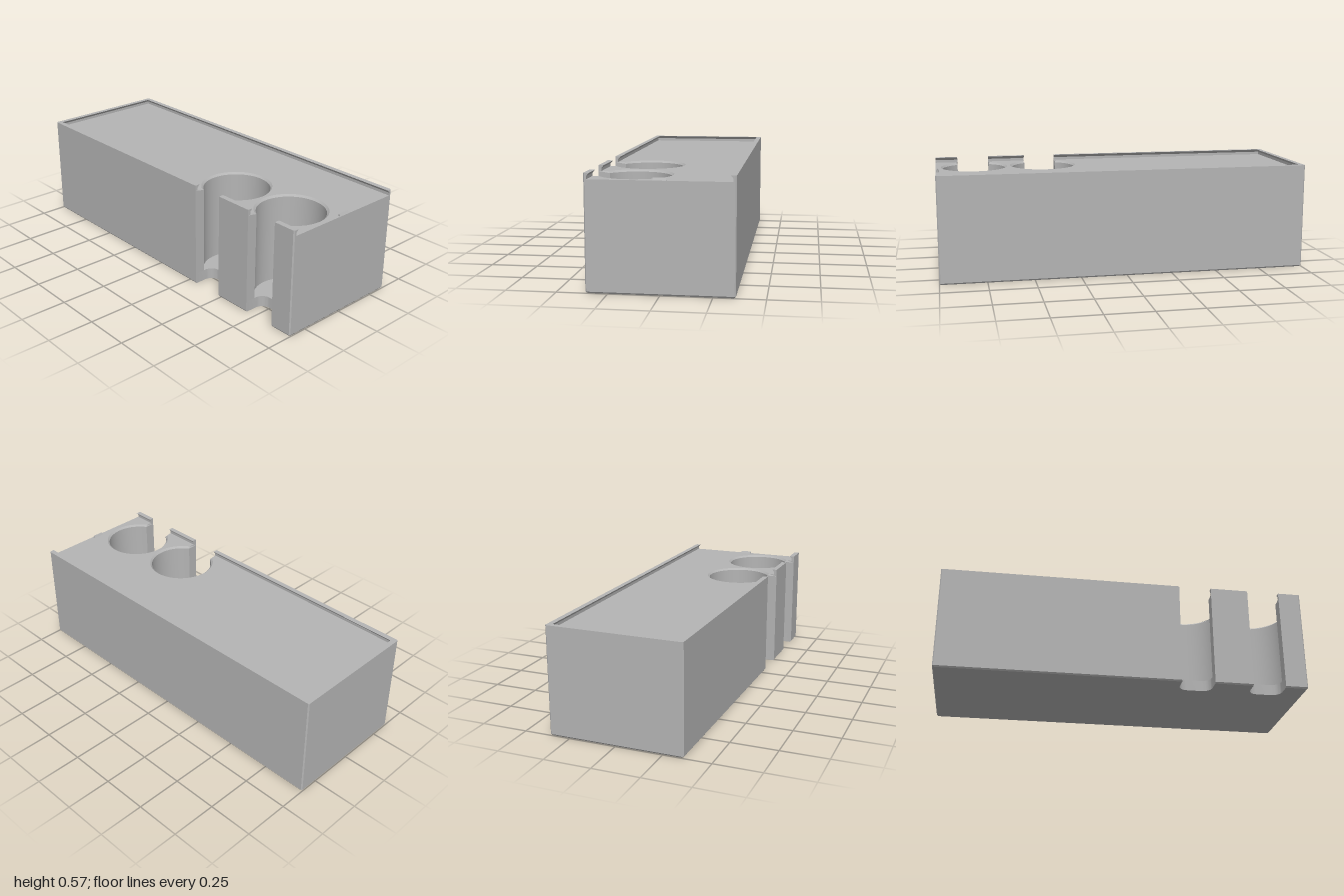
import * as THREE from 'three';
import { toCreasedNormals } from 'three/addons/utils/BufferGeometryUtils.js';

const W = 0.358, L = 1, CH = 0.006;          // half width, half length, edge chamfer
const H = 0.575, DECK = 0.545, FLOOR = 0.06; // rim top, deck, well floor
const WELLS = [0.395, 0.785], CX = -0.15, R = 0.175, LIP = 0.186, SLOT = 0.09;
const NOTCH_X = -0.24, NOTCH_R = 0.05;

// Extrude a plan outline of [x, z] points upward, optionally moving vertices by a rule
function layer(points, y0, y1, rule) {
  const shape = new THREE.Shape(points.map(([x, z]) => new THREE.Vector2(x, -z)));
  let geo = new THREE.ExtrudeGeometry(shape, { depth: y1 - y0, bevelEnabled: false });
  geo.rotateX(-Math.PI / 2).translate(0, y0, 0);
  if (rule) {
    const p = geo.attributes.position, v = new THREE.Vector3();
    for (let i = 0; i < p.count; i++) {
      v.fromBufferAttribute(p, i);
      rule(v);
      p.setXYZ(i, v.x, v.y, v.z);
    }
  }
  return toCreasedNormals(geo, 0.5);
}

// Box outline with chamfered corners and a cut on the right side at each well
function outline(cut) {
  return [
    [-W + CH, L], [W - CH, L], [W, L - CH], [W, -L + CH], [W - CH, -L], [-W + CH, -L], [-W, -L + CH],
    ...WELLS.flatMap(cut),
    [-W, L - CH],
  ];
}

// Round well with a finger slot opening through the side wall
function wellCut(zc) {
  const a = Math.PI - Math.asin(SLOT / R), n = 72, pts = [[-W, zc - SLOT]];
  for (let i = 0; i <= n; i++) {
    const t = a - (2 * a * i) / n;
    pts.push([CX + R * Math.cos(t), zc - R * Math.sin(t)]);
  }
  pts.push([-W, zc + SLOT]);
  return pts;
}

// Rounded notch through the floor
function notchCut(zc) {
  const pts = [[-W, zc - SLOT]], n = 10, x = NOTCH_X - NOTCH_R, z = SLOT - NOTCH_R;
  for (const s of [-1, 1]) {
    for (let i = 0; i <= n; i++) {
      const t = ((s < 0 ? i : n - i) / n) * Math.PI / 2;
      pts.push([x + NOTCH_R * Math.sin(t), zc + s * (z + NOTCH_R * Math.cos(t))]);
    }
  }
  pts.push([-W, zc + SLOT]);
  return pts;
}

export function createModel() {
  const group = new THREE.Group();
  const grey = new THREE.MeshStandardMaterial({ color: 0xb4b4b4 });
  grey.name = 'grey plastic';
  const add = (name, geo) => {
    const mesh = new THREE.Mesh(geo, grey);
    mesh.name = name;
    group.add(mesh);
  };

  // Floor, with its lower outer edge chamfered
  add('bottomEdge', layer(outline(notchCut), 0, 0.008, v => {
    if (v.y > 0.001) return;
    if (Math.abs(v.x) > W - CH - 0.001) v.x -= Math.sign(v.x) * CH;
    if (Math.abs(v.z) > L - CH - 0.001) v.z -= Math.sign(v.z) * CH;
  }));
  add('floor', layer(outline(notchCut), 0.008, FLOOR));

  // Solid body around the wells, and the deck with flared well mouths
  add('body', layer(outline(wellCut), FLOOR, DECK - 0.01));
  add('deck', layer(outline(wellCut), DECK - 0.01, DECK, v => {
    if (v.y < DECK - 0.001) return;
    for (const zc of WELLS) {
      const d = Math.hypot(v.x - CX, v.z - zc);
      if (Math.abs(d - R) < 0.001) {
        v.x = CX + (v.x - CX) * LIP / R;
        v.z = zc + (v.z - zc) * LIP / R;
      }
    }
  }));

  // Lid rail: open at the front, interrupted by the slots, undercut on the inside
  const IN = 0.343, BACK = -0.986, UNDER = 0.013, MID = 0.56;
  const [s1, s2] = WELLS;
  const rails = [
    [[-W, s1 - SLOT], [-IN, s1 - SLOT], [-IN, BACK], [IN, BACK], [IN, L], [W - CH, L], [W, L - CH],
      [W, -L + CH], [W - CH, -L], [-W + CH, -L], [-W, -L + CH]],
    [[-W, s2 - SLOT], [-IN, s2 - SLOT], [-IN, s1 + SLOT], [-W, s1 + SLOT]],
    [[-W, L - CH], [-W + CH, L], [-IN, L], [-IN, s2 + SLOT], [-W, s2 + SLOT]],
  ];
  for (const rail of rails) {
    add('lidRailBase', layer(rail, DECK, MID));
    add('lidRailOverhang', layer(rail, MID, H, v => {
      if (v.y < H - 0.001) return;
      if (Math.abs(Math.abs(v.x) - IN) < 0.001) v.x -= Math.sign(v.x) * UNDER;
      if (Math.abs(v.z - BACK) < 0.001) v.z += UNDER;
    }));
  }

  // Small ridge that catches the lid
  const ridge = new THREE.Shape([[-0.997, 0], [-0.982, 0], [-0.9895, 0.013]].map(p => new THREE.Vector2(...p)));
  const catchGeo = new THREE.ExtrudeGeometry(ridge, { depth: 0.063, bevelEnabled: false });
  catchGeo.rotateY(Math.PI / 2).translate(-0.032, DECK, 0);
  add('lidCatch', catchGeo);

  return group;
}
